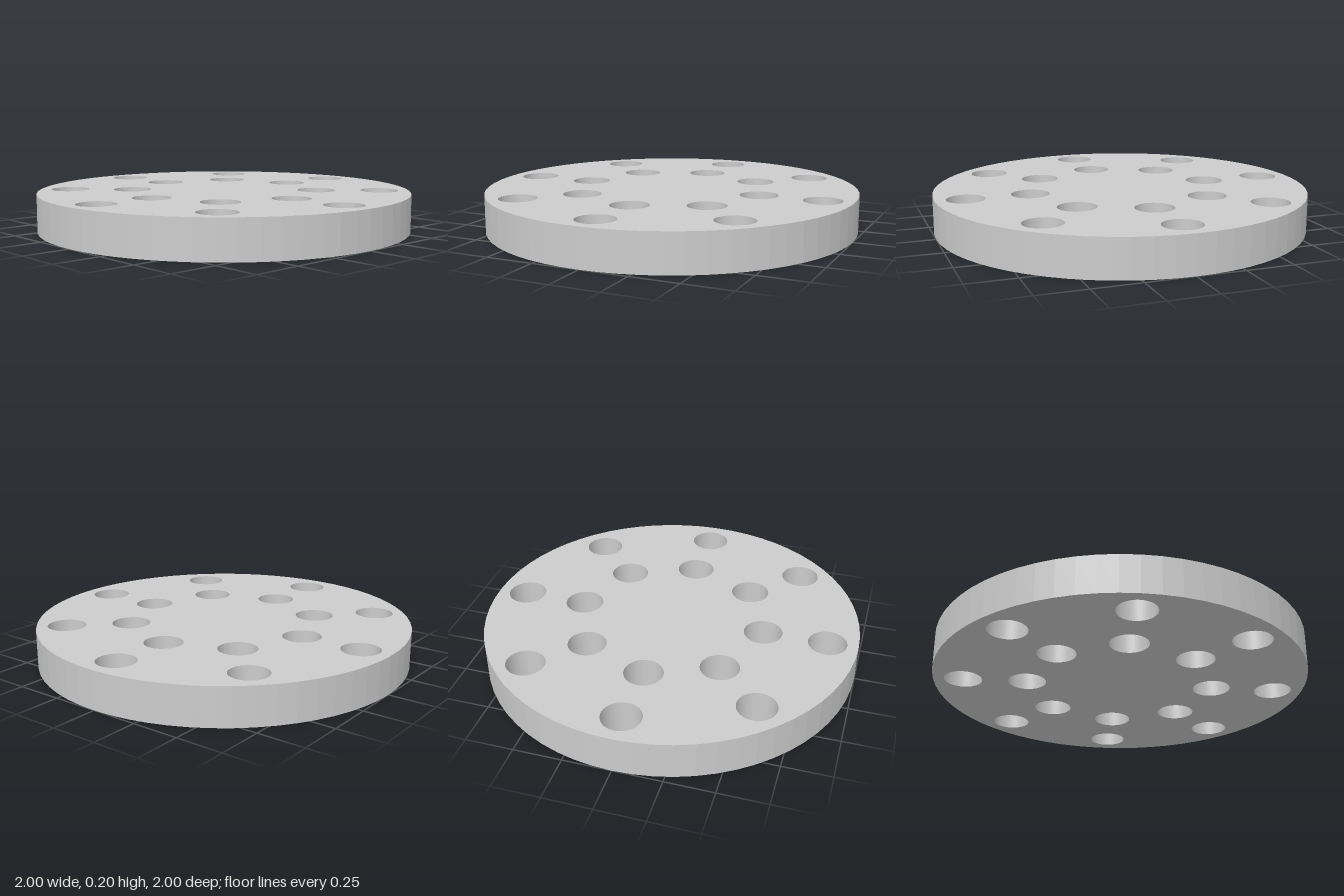
import * as THREE from 'three';

const RADIUS = 1;
const THICKNESS = 0.2;
const HOLE_RADIUS = 0.101;
const HOLES_PER_RING = 8;
const RING_RADII = [0.5, 0.84];

export function createModel() {
  const group = new THREE.Group();
  group.name = 'perforatedDisc';

  // Round outline
  const outline = new THREE.Shape();
  outline.absarc(0, 0, RADIUS, 0, Math.PI * 2, false);

  // Two concentric rings of through holes
  for (const ring of RING_RADII) {
    for (let i = 0; i < HOLES_PER_RING; i++) {
      const a = (i / HOLES_PER_RING) * Math.PI * 2;
      const hole = new THREE.Path();
      hole.absarc(ring * Math.cos(a), ring * Math.sin(a), HOLE_RADIUS, 0, Math.PI * 2, true);
      outline.holes.push(hole);
    }
  }

  // Flat plate with faceted rim, laid down on y = 0
  const geometry = new THREE.ExtrudeGeometry(outline, {
    depth: THICKNESS,
    bevelEnabled: false,
    curveSegments: 32,
  });
  geometry.rotateX(-Math.PI / 2);

  const plate = new THREE.Mesh(
    geometry,
    new THREE.MeshStandardMaterial({ color: 0xcccccc, flatShading: true })
  );
  plate.name = 'plate';
  group.add(plate);

  return group;
}
